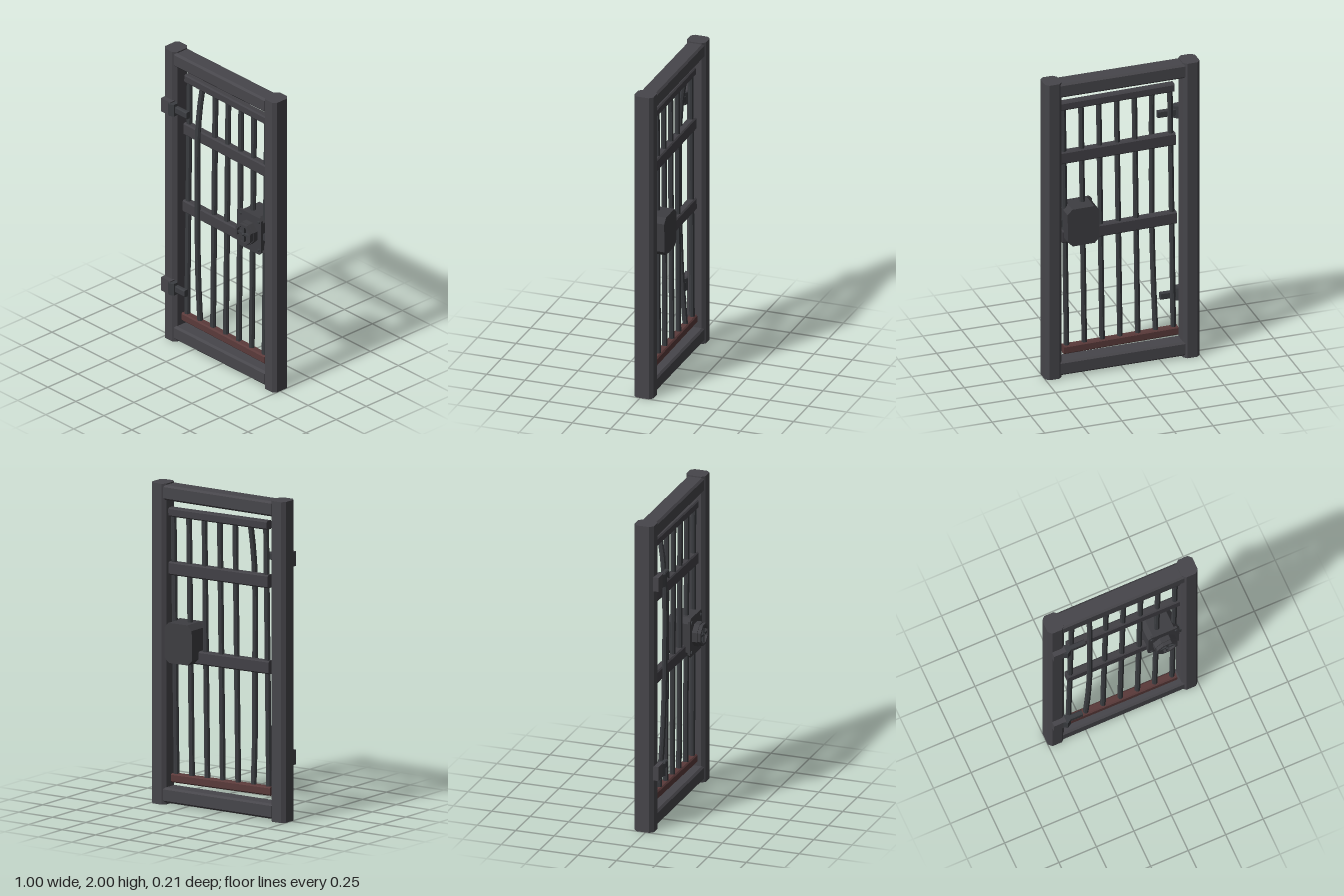
import * as THREE from 'three';

export function createModel() {
  const mat = (name, color) => {
    const m = new THREE.MeshStandardMaterial({ color, flatShading: true });
    m.name = name;
    return m;
  };
  const frameIron = mat('frame iron', 0x47464b);
  const railIron = mat('rail iron', 0x424146);
  const barIron = mat('bar iron', 0x3b3d41);
  const lockIron = mat('lock iron', 0x3e3e42);
  const rust = mat('rusted iron', 0x5a3a3a);

  const add = (parent, name, geo, material, x = 0, y = 0, z = 0) => {
    const mesh = new THREE.Mesh(geo, material);
    mesh.name = name;
    mesh.position.set(x, y, z);
    parent.add(mesh);
    return mesh;
  };

  // Prism with a corner-cut rectangle section (w by h), centred, running along z
  const prism = (w, h, len, c) => {
    const a = w / 2, b = h / 2;
    const pts = [[-a + c, -b], [a - c, -b], [a, -b + c], [a, b - c],
      [a - c, b], [-a + c, b], [-a, b - c], [-a, -b + c]];
    const shape = new THREE.Shape(pts.map(p => new THREE.Vector2(...p)));
    return new THREE.ExtrudeGeometry(shape, { depth: len, bevelEnabled: false })
      .translate(0, 0, -len / 2);
  };
  const beamX = (len, h, d, c) => prism(d, h, len, c).rotateY(Math.PI / 2);
  const beamY = (w, len, d, c) => prism(w, d, len, c).rotateX(Math.PI / 2);

  const model = new THREE.Group();
  model.name = 'barredDoor';

  // Fixed frame
  const frame = new THREE.Group();
  frame.name = 'frame';
  model.add(frame);
  for (const s of [-1, 1]) {
    add(frame, s < 0 ? 'rightPost' : 'leftPost', beamY(0.108, 2, 0.125, 0.022), frameIron, s * 0.446, 1, -0.0165);
  }
  add(frame, 'topBeam', beamX(0.81, 0.094, 0.112, 0.012), frameIron, 0, 1.945, -0.016);
  add(frame, 'bottomBeam', beamX(0.81, 0.094, 0.112, 0.012), frameIron, 0, 0.06, -0.016);

  // Sagging door leaf, pivoted on its bottom rail
  const pivotY = 0.17;
  const door = new THREE.Group();
  door.name = 'doorLeaf';
  door.position.set(0, pivotY, -0.015);
  door.rotation.z = -0.0135;
  model.add(door);
  const rails = [
    ['bottomRail', 0.17, 0.74, 0.055, rust],
    ['lockRail', 0.94, 0.74, 0.082, railIron],
    ['upperRail', 1.475, 0.74, 0.082, railIron],
    ['topRail', 1.825, 0.735, 0.055, railIron],
  ];
  for (const [name, y, w, h, m] of rails) {
    add(door, name, beamX(w, h, 0.05, 0.008), m, 0, y - pivotY, 0);
  }

  // Upright bars; the second one is bowed out in front of the rails
  for (let i = 0; i < 7; i++) {
    const x = -0.345 + i * 0.115;
    if (i === 1) {
      const path = new THREE.CatmullRomCurve3([
        [x, 0.02, 0], [x + 0.001, 0.35, 0.022], [x + 0.002, 0.77, 0.033],
        [x - 0.004, 1.305, 0.033], [x - 0.002, 1.5, 0.02], [x, 1.64, 0],
      ].map(p => new THREE.Vector3(...p)));
      add(door, 'bentBar', new THREE.TubeGeometry(path, 14, 0.018, 8), barIron);
    } else {
      add(door, 'bar', new THREE.CylinderGeometry(0.018, 0.018, 1.65, 8), barIron, x, 0.825, 0);
    }
  }

  // Lock case, front plate, bolt and rivets
  const lock = new THREE.Group();
  lock.name = 'lock';
  lock.position.set(0.256, 1.028 - pivotY, 0.015);
  door.add(lock);
  add(lock, 'lockCase', prism(0.205, 0.25, 0.135, 0.032), lockIron, 0, 0, -0.0405);
  add(lock, 'lockPlate', prism(0.206, 0.252, 0.014, 0.016), lockIron, 0, 0, 0.031);
  add(lock, 'bolt', new THREE.BoxGeometry(0.06, 0.045, 0.04), barIron, 0.12, -0.003, 0);
  for (const sx of [-1, 1]) for (const sy of [-1, 1]) {
    add(lock, 'rivet', new THREE.CylinderGeometry(0.009, 0.011, 0.008, 6).rotateX(Math.PI / 2),
      barIron, sx * 0.081, sy * 0.096, 0.041);
  }

  // Turning knob with crossed grips and a pointed hub
  const octagon = (r, d) => new THREE.CylinderGeometry(r, r, d, 8)
    .rotateY(Math.PI / 8).rotateX(Math.PI / 2);
  add(lock, 'knobBase', octagon(0.077, 0.034), lockIron, 0, 0, 0.055);
  const rim = new THREE.Shape();
  const hole = new THREE.Path();
  for (let i = 0; i < 8; i++) {
    const a = Math.PI / 8 + i * Math.PI / 4, c = Math.cos(a), s = Math.sin(a);
    i ? rim.lineTo(c * 0.072, s * 0.072) : rim.moveTo(c * 0.072, s * 0.072);
    i ? hole.lineTo(c * 0.056, s * 0.056) : hole.moveTo(c * 0.056, s * 0.056);
  }
  rim.holes.push(hole);
  add(lock, 'knobRim', new THREE.ExtrudeGeometry(rim, { depth: 0.022, bevelEnabled: false }), lockIron, 0, 0, 0.072);
  add(lock, 'gripAcross', new THREE.BoxGeometry(0.12, 0.014, 0.02), barIron, 0, 0, 0.08);
  add(lock, 'gripUpright', new THREE.BoxGeometry(0.014, 0.12, 0.02), barIron, 0, 0, 0.08);
  add(lock, 'knobHub', new THREE.ConeGeometry(0.016, 0.018, 6).rotateX(Math.PI / 2), barIron, 0, 0, 0.093);

  // Hinges: post plate, knuckle and strap
  for (const [y, end] of [[1.622, -0.265], [0.385, -0.283]]) {
    const hinge = new THREE.Group();
    hinge.name = 'hinge';
    hinge.position.y = y;
    model.add(hinge);
    add(hinge, 'hingePlate', new THREE.BoxGeometry(0.082, 0.092, 0.04), frameIron, -0.44, 0, 0.058);
    add(hinge, 'hingeKnuckle', new THREE.CylinderGeometry(0.031, 0.031, 0.08, 6), barIron, -0.395, 0, 0.06);
    const len = end + 0.39;
    add(hinge, 'hingeStrap', beamX(len, 0.046, 0.03, 0.006), barIron, end - len / 2, 0, 0.052);
  }
  return model;
}
